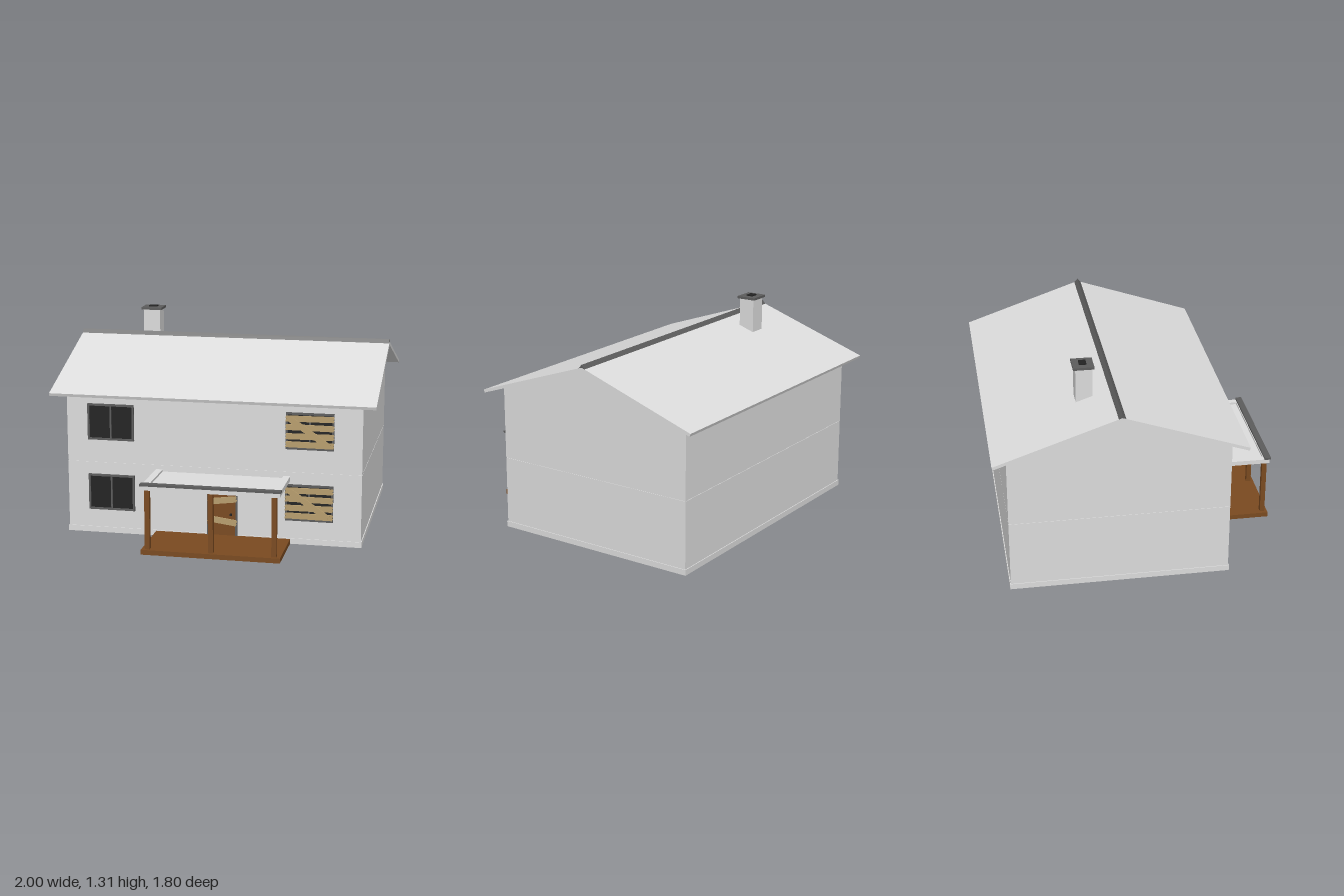
import * as THREE from 'three';

const mat = (name, color) => new THREE.MeshStandardMaterial({ name, color });

export function createModel() {
  const house = new THREE.Group();
  house.name = 'house';
  const M = {
    wall: mat('paleWall', 0xdcdcdc),
    trim: mat('darkTrim', 0x5c5c5c),
    glass: mat('blackGlass', 0x222222),
    wood: mat('brownWood', 0x7a4a20),
    plank: mat('paleTimber', 0xb89e6e),
  };

  const add = (name, geo, material, parent = house) => {
    const mesh = new THREE.Mesh(geo, material);
    mesh.name = name;
    parent.add(mesh);
    return mesh;
  };
  // Box given by its minimum and maximum on each axis
  const box = (name, x0, x1, y0, y1, z0, z1, material, parent) => {
    const geo = new THREE.BoxGeometry(x1 - x0, y1 - y0, z1 - z0);
    geo.translate((x0 + x1) / 2, (y0 + y1) / 2, (z0 + z1) / 2);
    return add(name, geo, material, parent);
  };
  // Prism along x whose cross-section is given as [z, y] points
  const prism = (name, points, x0, x1, material) => {
    const shape = new THREE.Shape(points.map(([z, y]) => new THREE.Vector2(-z, y)));
    const geo = new THREE.ExtrudeGeometry(shape, { depth: x1 - x0, bevelEnabled: false });
    geo.rotateY(Math.PI / 2).translate(x0, 0, 0);
    return add(name, geo, material);
  };
  // Rough board with splintered ends
  const board = (name, x, y, z, length, height, angle, parent, depth = 0.008) => {
    const a = length / 2, h = height / 2;
    const shape = new THREE.Shape([
      [-a, -h], [a - 0.006, -h], [a, -h * 0.4], [a - 0.007, 0], [a, h * 0.5], [a - 0.004, h],
      [-a + 0.006, h], [-a, h * 0.4], [-a + 0.007, 0], [-a + 0.002, -h * 0.5],
    ].map(([px, py]) => new THREE.Vector2(px, py)));
    const mesh = add(name, new THREE.ExtrudeGeometry(shape, { depth, bevelEnabled: false }), M.plank, parent);
    mesh.position.set(x, y, z);
    mesh.rotation.z = angle;
  };

  // Two storeys and plinth
  box('plinth', -0.92, 0.92, 0, 0.035, -0.82, 0.516, M.wall);
  box('lowerStorey', -0.915, 0.915, 0.005, 0.451, -0.815, 0.511, M.wall);
  box('storeyJoint', -0.912, 0.912, 0.451, 0.455, -0.812, 0.508, M.wall);
  box('upperStorey', -0.915, 0.915, 0.455, 0.9, -0.815, 0.511, M.wall);

  // Gable and pitched roof
  const ridgeZ = -0.152;
  prism('gable', [[0.511, 0.9], [ridgeZ, 1.128], [-0.815, 0.9]], -0.915, 0.915, M.wall);
  prism('roof', [
    [0.592, 0.875], [0.598, 0.893], [ridgeZ, 1.15], [-0.902, 0.893], [-0.896, 0.875], [ridgeZ, 1.129],
  ], -1, 1, M.wall);
  prism('ridgeCap', [[-0.13, 1.142], [ridgeZ, 1.167], [-0.174, 1.142]], -1, 1, M.trim);

  // Chimney
  box('chimneyStack', -0.625, -0.515, 1.04, 1.286, -0.372, -0.272, M.wall);
  box('chimneyCap', -0.637, -0.503, 1.286, 1.301, -0.386, -0.26, M.trim);
  box('chimneyFlue', -0.597, -0.543, 1.3, 1.308, -0.346, -0.302, M.glass);

  // Windows, the ones on the left boarded up
  const makeWindow = (name, x0, y0, boarded) => {
    const g = new THREE.Group();
    g.name = name;
    house.add(g);
    const x1 = x0 + 0.292, y1 = y0 + 0.226, t = 0.012;
    box('glass', x0 + t, x1 - t, y0 + t, y1 - t, 0.51, 0.517, M.glass, g);
    for (const x of [x0, x1 - t]) box('frameSide', x, x + t, y0, y1, 0.51, 0.525, M.trim, g);
    for (const y of [y0, y1 - t]) box('frameRail', x0, x1, y, y + t, 0.51, 0.525, M.trim, g);
    const cx = (x0 + x1) / 2;
    box('mullion', cx - 0.005, cx + 0.005, y0, y1, 0.51, 0.523, M.trim, g);
    if (!boarded) return;
    [0.032, 0.083, 0.138, 0.192].forEach((dy, i) =>
      board('board', cx, y0 + dy, 0.524, 0.296, 0.036, i % 2 ? 0.008 : -0.006, g));
    board('diagonalBoard', cx, y0 + 0.108, 0.531, 0.29, 0.036, -0.6, g);
  };
  for (const [floor, y] of [['lower', 0.15], ['upper', 0.596]]) {
    makeWindow(floor + 'RightWindow', -0.782, y, false);
    makeWindow(floor + 'LeftWindow', 0.452, y, true);
  }

  // Front door with two boards nailed across
  const door = new THREE.Group();
  door.name = 'frontDoor';
  house.add(door);
  box('doorLeaf', -0.02, 0.146, 0.03, 0.353, 0.51, 0.519, M.wood, door);
  for (const x of [-0.031, 0.145]) box('doorJamb', x, x + 0.012, 0.03, 0.366, 0.51, 0.525, M.trim, door);
  box('doorLintel', -0.031, 0.157, 0.353, 0.366, 0.51, 0.525, M.trim, door);
  box('doorKnob', 0.111, 0.124, 0.157, 0.17, 0.519, 0.53, M.glass, door);
  board('doorBoard', 0.063, 0.254, 0.524, 0.185, 0.038, 0.13, door);
  board('doorBoard', 0.063, 0.124, 0.524, 0.185, 0.038, -0.13, door);

  // Porch deck and posts
  box('porchDeck', -0.356, 0.484, 0, 0.03, 0.515, 0.897, M.wood);
  for (const x of [-0.32, 0.065, 0.445])
    box('porchPost', x - 0.015, x + 0.015, 0.03, 0.398, 0.85, 0.88, M.wood);

  // Porch roof: recessed panel, side rims, dark front strip
  box('porchPanel', -0.312, 0.44, 0.397, 0.412, 0.51, 0.86, M.wall);
  for (const x of [-0.354, 0.438])
    box('porchSideRim', x, x + 0.042, 0.397, 0.425, 0.51, 0.892, M.wall);
  box('porchFrontRim', -0.354, 0.48, 0.397, 0.425, 0.855, 0.892, M.wall);
  box('porchFrontStrip', -0.358, 0.487, 0.424, 0.437, 0.86, 0.9, M.trim);

  return house;
}
